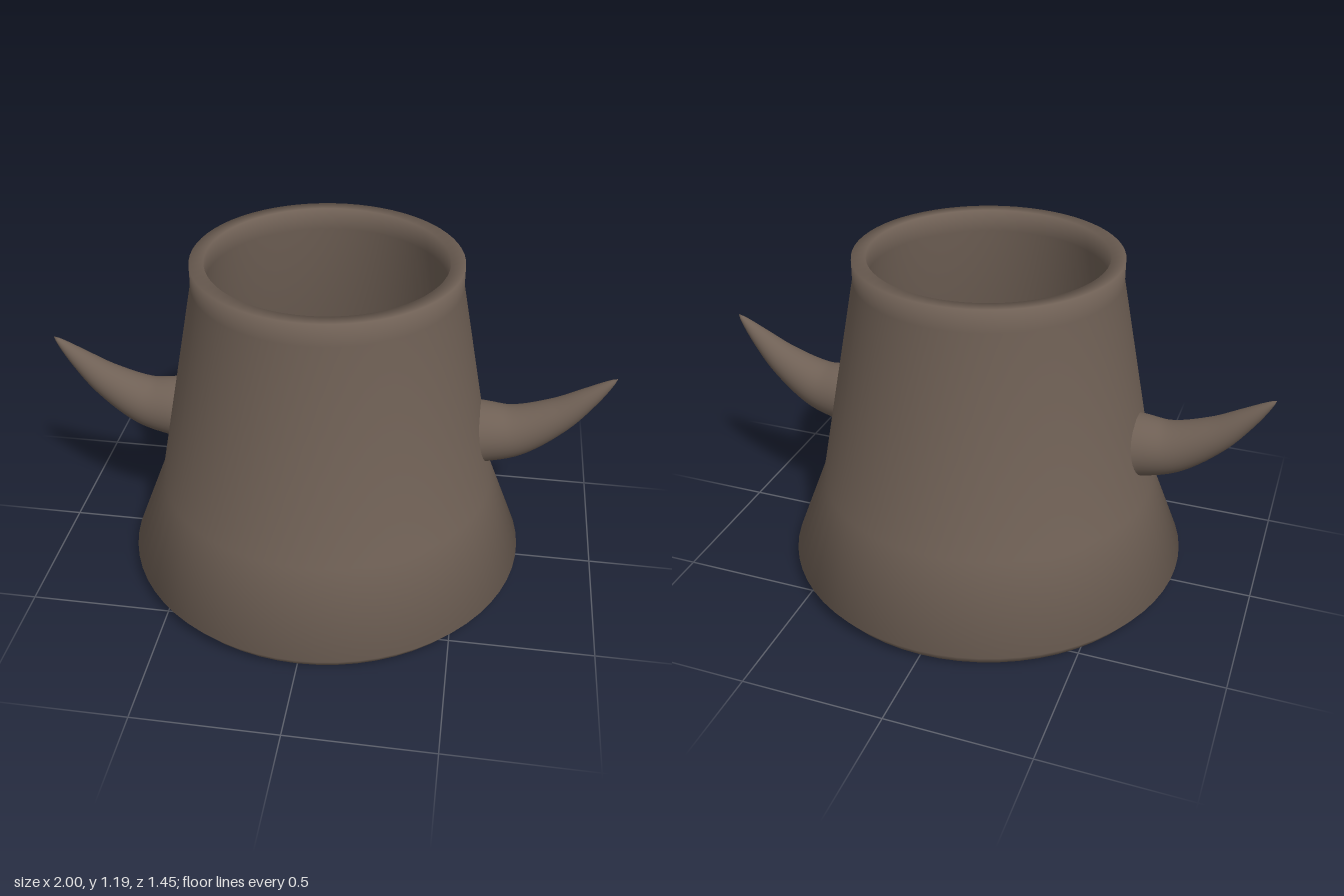
import * as THREE from 'three';
import { mergeVertices } from 'three/addons/utils/BufferGeometryUtils.js';

const brown = new THREE.MeshStandardMaterial({ color: 0x6f6055 });
brown.name = 'brown';

// Hollow flared body: up the outside, over the rim, down the inside
function makeBody() {
  const profile = [
    [0.685, 0], [0.723, 0.05], [0.605, 0.355], [0.46, 1.11], [0.46, 1.19],
    [0.411, 1.19], [0.411, 1.11], [0.558, 0.355], [0.675, 0.05], [0.68, 0], [0.685, 0],
  ].map(([r, y]) => new THREE.Vector2(r, y));
  const count = profile.length, turns = 64;
  const geo = new THREE.LatheGeometry(profile, turns);

  // Smooth normals: the even average of the two neighbouring slopes
  const slope = profile.map((p, i) => {
    const q = profile[(i + 1) % count === 0 ? 1 : i + 1];
    const from = i === count - 1 ? profile[0] : p;
    return new THREE.Vector2(q.y - from.y, from.x - q.x).normalize();
  });
  const normal = geo.attributes.normal;
  for (let i = 0; i <= turns; i++) {
    const angle = (i / turns) * Math.PI * 2;
    for (let j = 0; j < count; j++) {
      const before = slope[j === 0 ? count - 2 : j - 1];
      const n = slope[j].clone().add(before).normalize();
      normal.setXYZ(i * count + j, n.x * Math.sin(angle), n.y, n.x * Math.cos(angle));
    }
  }
  const body = new THREE.Mesh(geo, brown);
  body.name = 'body';
  return body;
}

// Upswept horn: a tube tapered to a point, its base trimmed to the wall
function makeHorn(name) {
  const path = new THREE.CatmullRomCurve3([
    [0.54, 0.55], [0.665, 0.565], [0.81, 0.64], [0.91, 0.722], [1, 0.807],
  ].map(([x, y]) => new THREE.Vector3(x, y, 0)));
  const rings = 32, sides = 32;
  const geo = new THREE.TubeGeometry(path, rings, 0.114, sides);
  const pos = geo.attributes.position;
  const v = new THREE.Vector3();
  for (let i = 0; i <= rings; i++) {
    const centre = path.getPointAt(i / rings);
    const taper = Math.pow(1 - i / rings, 0.75);
    for (let j = 0; j <= sides; j++) {
      const k = i * (sides + 1) + j;
      v.fromBufferAttribute(pos, k).sub(centre).multiplyScalar(taper).add(centre);
      const wall = 0.605 - (v.y - 0.355) * 0.192;
      v.x = Math.max(v.x, Math.sqrt(wall * wall - v.z * v.z) - 0.01);
      pos.setXYZ(k, v.x, v.y, v.z);
    }
  }
  // Weld the seam so the horn shades smoothly
  geo.deleteAttribute('uv');
  geo.deleteAttribute('normal');
  const welded = mergeVertices(geo, 1e-5);
  welded.computeVertexNormals();
  const horn = new THREE.Mesh(welded, brown);
  horn.name = name;
  return horn;
}

export function createModel() {
  const model = new THREE.Group();
  model.name = 'hornedCollar';
  const left = makeHorn('leftHorn');
  const right = makeHorn('rightHorn');
  right.rotation.y = Math.PI;
  model.add(makeBody(), left, right);
  return model;
}
